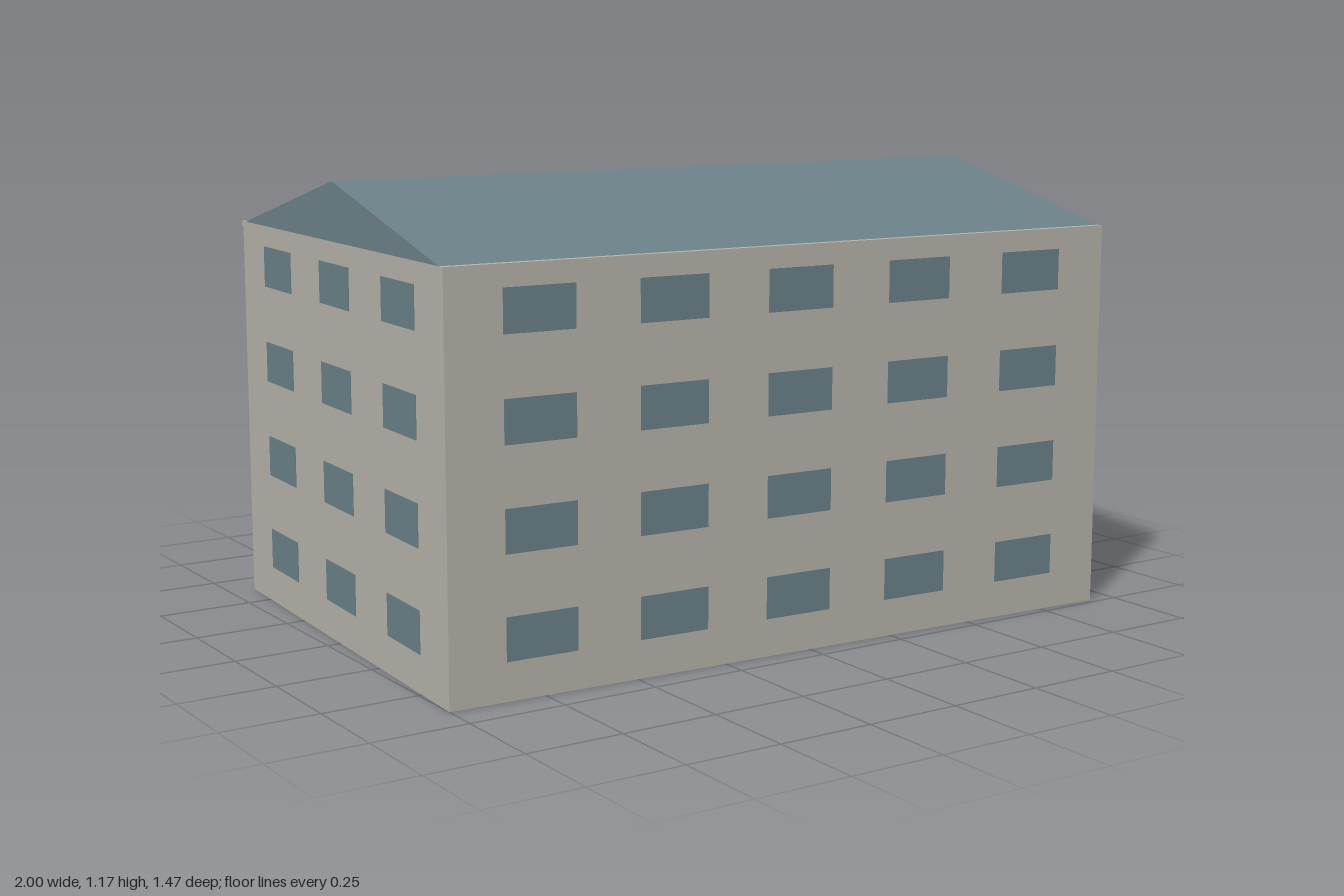
import * as THREE from 'three';

const W = 1.93, D = 1.286, H = 1.024; // wall block
const FLOORS = 4, FLOOR_H = 0.2555, SILL = 0.096;
const WIN_W = 0.189, WIN_H = 0.107, T = 0.003;

// The plan is turned and very slightly out of square.
const plan = new THREE.Matrix4().makeBasis(
  new THREE.Vector3(0.9991, 0, 0.0414),
  new THREE.Vector3(0, 1, 0),
  new THREE.Vector3(-0.0558, 0, 0.9984)
).setPosition(0, 0, 0.05);

function material(name, color) {
  const m = new THREE.MeshStandardMaterial({ color });
  m.name = name;
  return m;
}

export function createModel() {
  const wall = material('warm grey render', 0xb5b2a9);
  const slate = material('blue grey slate', 0x6b8088);
  const glass = material('blue grey glass', 0x698088);

  const model = new THREE.Group();
  model.name = 'apartmentBlock';

  function add(name, geometry, mat, parent = model) {
    geometry.applyMatrix4(plan);
    geometry.computeVertexNormals();
    const mesh = new THREE.Mesh(geometry, mat);
    mesh.name = name;
    parent.add(mesh);
  }

  // Box standing on y0, centred on x and z in plan coordinates
  function box(name, w, h, d, x, y0, z, mat, parent) {
    add(name, new THREE.BoxGeometry(w, h, d).translate(x, y0 + h / 2, z), mat, parent);
  }

  box('walls', W, H, D, 0, 0, 0, wall);

  // Gabled roof, set in a little from the long walls
  const eave = D / 2 - 0.02;
  const gable = new THREE.Shape([
    new THREE.Vector2(-eave, 0),
    new THREE.Vector2(eave, 0),
    new THREE.Vector2(0, 0.149),
  ]);
  const roof = new THREE.ExtrudeGeometry(gable, { depth: W, bevelEnabled: false });
  roof.translate(0, 0, -W / 2).rotateY(Math.PI / 2).translate(0, H, 0);
  add('roof', roof, slate);

  // Cornice along the back wall
  box('cornice', W, 0.014, 0.012, 0, H - 0.014, -D / 2 - 0.005, wall);

  // Windows on all four walls; the door takes the middle of the back ground floor
  const windows = new THREE.Group();
  windows.name = 'windows';
  model.add(windows);
  for (let f = 0; f < FLOORS; f++) {
    const y = SILL + f * FLOOR_H;
    for (let c = -2; c <= 2; c++) {
      box('frontWindow', WIN_W, WIN_H, T, c * 0.361, y, D / 2, glass, windows);
      if (f > 0 || c !== 0) box('backWindow', WIN_W, WIN_H, T, c * 0.361, y, -D / 2, glass, windows);
    }
    for (let c = -1; c <= 1; c++) {
      for (const side of [-1, 1]) {
        box('sideWindow', T, WIN_H, WIN_W + 0.002, side * W / 2, y, c * 0.39, glass, windows);
      }
    }
  }
  box('door', 0.286, 0.255, T, 0, 0, -D / 2, glass);

  // Three thin treads in front of the door, standing clear of the wall
  const steps = new THREE.Group();
  steps.name = 'entranceSteps';
  model.add(steps);
  const treads = [[0.037, 0.085, 0.021], [0.075, 0.112, 0.0105], [0.102, 0.138, 0]];
  for (const [near, far, y] of treads) {
    box('stepTread', 0.335, 0.0135, far - near, 0, y, -D / 2 - (near + far) / 2, wall, steps);
  }

  return model;
}
